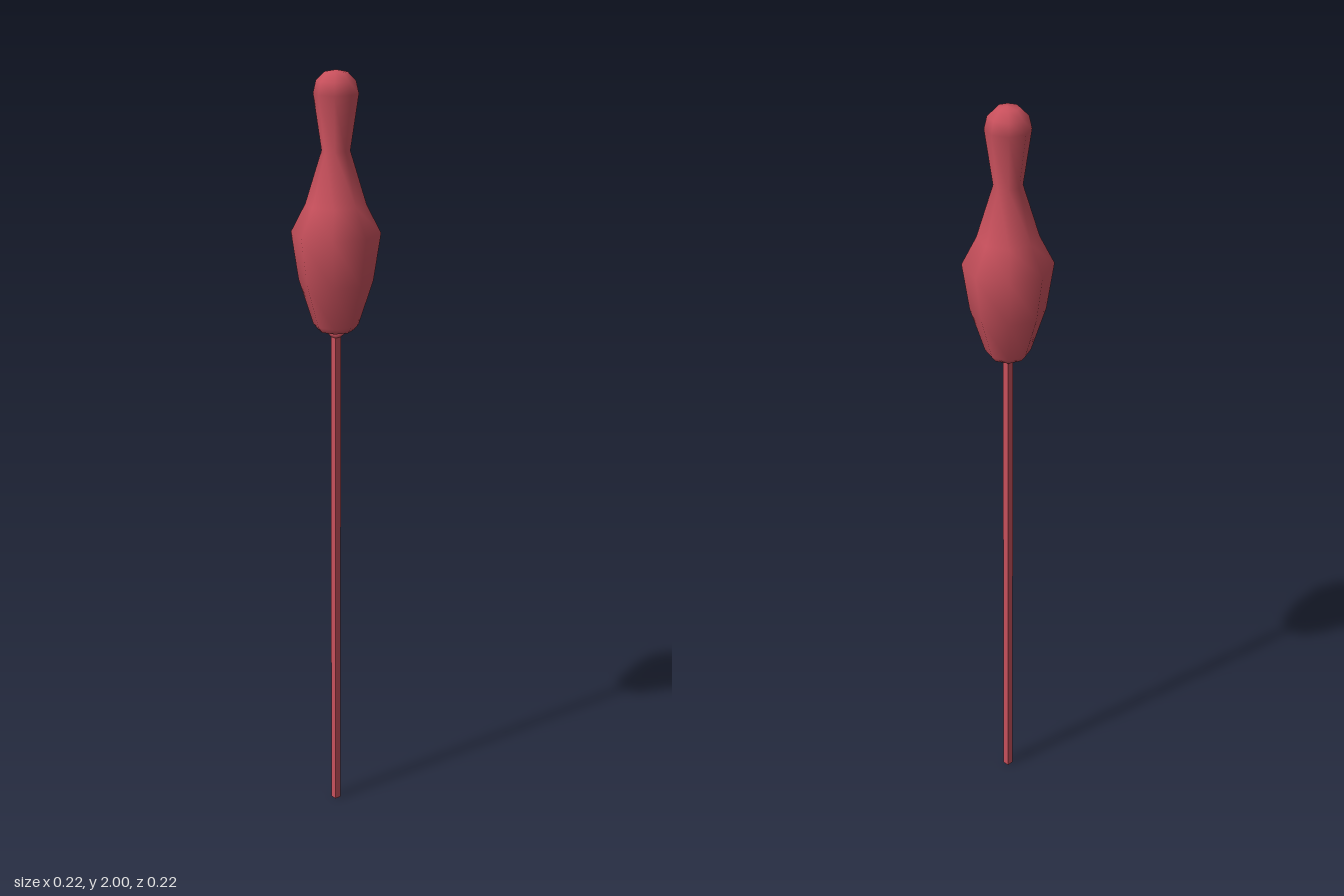
import * as THREE from 'three';

export function createModel() {
  const model = new THREE.Group();
  model.name = 'pinOnStick';
  const material = new THREE.MeshStandardMaterial({ color: 0xc8505c });

  // Turns a [radius, height] profile (listed bottom to top) around the y axis
  const turned = (name, profile, sides, turn = 0) => {
    const points = profile.map(([r, y]) => new THREE.Vector2(r, y));
    const mesh = new THREE.Mesh(new THREE.LatheGeometry(points, sides, turn), material);
    mesh.name = name;
    model.add(mesh);
    return mesh;
  };

  // Eight-sided pin: rounded base, wide belly, slim neck, round head
  turned('pinBody', [
    [0, 1.36], [0.045, 1.363], [0.057, 1.378], [0.093, 1.49], [0.111, 1.61],
    [0.075, 1.68], [0.035, 1.81], [0.055, 1.945], [0.048, 1.975], [0.028, 1.995], [0, 2],
  ], 8);

  // Thin square stick
  const stick = new THREE.Mesh(new THREE.BoxGeometry(0.018, 1.362, 0.018), material);
  stick.name = 'stick';
  stick.position.y = 0.681;
  model.add(stick);

  // Small square collar where the stick meets the pin
  turned('collar', [[0.012, 1.343], [0.022, 1.353], [0.012, 1.363]], 4, Math.PI / 4);

  return model;
}
